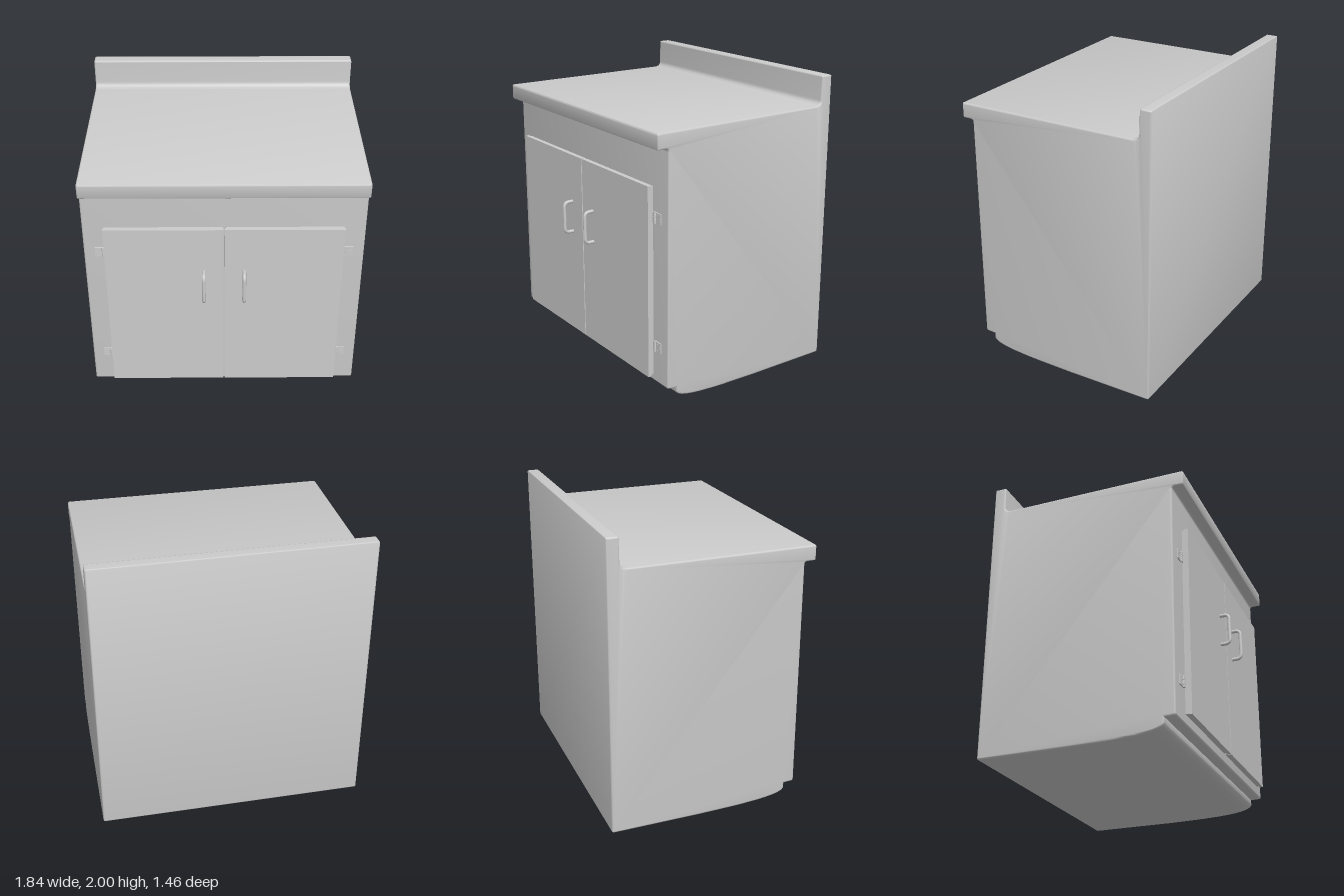
import * as THREE from 'three';
import { toCreasedNormals } from 'three/addons/utils/BufferGeometryUtils.js';

const material = new THREE.MeshStandardMaterial({ color: 0xcccccc });

function add(parent, name, geometry, x = 0, y = 0, z = 0) {
  const mesh = new THREE.Mesh(geometry, material);
  mesh.name = name;
  mesh.position.set(x, y, z);
  parent.add(mesh);
  return mesh;
}

// Cabinet, worktop and splashback share one side profile, swept across the width
function cabinetGeometry() {
  const s = new THREE.Shape(); // shape x runs towards the back
  s.moveTo(0.705, 0);
  s.quadraticCurveTo(0.722, 0, 0.722, 0.017);
  s.lineTo(0.722, 1.99);
  s.quadraticCurveTo(0.722, 2, 0.712, 2);
  s.lineTo(0.65, 2);
  s.quadraticCurveTo(0.64, 2, 0.64, 1.99);
  s.lineTo(0.637, 1.84);
  s.quadraticCurveTo(0.635, 1.802, 0.59, 1.802); // cove behind the worktop
  s.lineTo(-0.66, 1.802);
  s.quadraticCurveTo(-0.674, 1.802, -0.674, 1.788);
  s.lineTo(-0.674, 1.708);
  s.quadraticCurveTo(-0.674, 1.698, -0.664, 1.698);
  s.lineTo(-0.615, 1.698);
  s.quadraticCurveTo(-0.595, 1.698, -0.595, 1.678);
  s.lineTo(-0.597, 0.125);
  s.quadraticCurveTo(-0.597, 0.11, -0.585, 0.109);
  s.lineTo(-0.525, 0.107); // toe step
  s.lineTo(-0.525, 0.07);
  s.bezierCurveTo(-0.51, 0.02, -0.32, 0.012, -0.15, 0.005);
  s.lineTo(0.1, 0);
  s.closePath();
  const b = 0.012, halfWidth = 0.916;
  const g = new THREE.ExtrudeGeometry(s, {
    depth: 2 * (halfWidth - b), bevelThickness: b, bevelSize: b,
    bevelOffset: -b, bevelSegments: 3, curveSegments: 8,
  });
  g.translate(0, 0, -(halfWidth - b)).rotateY(Math.PI / 2);
  return toCreasedNormals(g, 0.7);
}

// Bent bar with rounded corners
function handleGeometry() {
  const v = (y, z) => new THREE.Vector3(0, y, z);
  const path = new THREE.CurvePath();
  const h = 0.108, out = 0.064, r = 0.035;
  path.add(new THREE.LineCurve3(v(h, -0.005), v(h, out - r)));
  path.add(new THREE.QuadraticBezierCurve3(v(h, out - r), v(h, out), v(h - r, out)));
  path.add(new THREE.LineCurve3(v(h - r, out), v(r - h, out)));
  path.add(new THREE.QuadraticBezierCurve3(v(r - h, out), v(-h, out), v(-h, out - r)));
  path.add(new THREE.LineCurve3(v(-h, out - r), v(-h, -0.005)));
  return new THREE.TubeGeometry(path, 64, 0.012, 12);
}

function makeHinge(side) {
  const hinge = new THREE.Group();
  hinge.name = 'hinge';
  add(hinge, 'frameLeaf', new THREE.BoxGeometry(0.053, 0.07, 0.008), side * 0.028, 0, 0);
  add(hinge, 'doorLeaf', new THREE.BoxGeometry(0.05, 0.07, 0.006), side * -0.025, 0, 0.008);
  // Knuckles
  for (let i = -2; i <= 2; i++) {
    add(hinge, 'knuckle', new THREE.CylinderGeometry(0.009, 0.009, 0.0135, 12), 0, i * 0.0148, 0.005);
  }
  add(hinge, 'pin', new THREE.CylinderGeometry(0.006, 0.006, 0.078, 10), 0, 0, 0.005);
  // Screws
  const screw = new THREE.CylinderGeometry(0.004, 0.004, 0.003, 10).rotateX(Math.PI / 2);
  for (const [x, y] of [[0.025, 0.022], [0.042, 0], [0.025, -0.022]]) {
    add(hinge, 'screw', screw, side * x, y, 0.005);
  }
  return hinge;
}

export function createModel() {
  const model = new THREE.Group();
  model.name = 'cabinet';
  add(model, 'cabinetBody', cabinetGeometry());

  for (const side of [-1, 1]) {
    // Door: front sheet over a slightly smaller backing panel
    const door = new THREE.Group();
    door.name = side > 0 ? 'leftDoor' : 'rightDoor';
    add(door, 'doorFront', new THREE.BoxGeometry(0.773, 1.287, 0.025), side * 0.391, 0.8, 0.64);
    add(door, 'doorBack', new THREE.BoxGeometry(0.76, 1.274, 0.022), side * 0.391, 0.8, 0.619);
    add(door, 'handle', handleGeometry(), side * 0.133, 1.004, 0.652);
    model.add(door);

    for (const y of [1.238, 0.368]) {
      const hinge = makeHinge(side);
      hinge.position.set(side * 0.788, y, 0.601);
      model.add(hinge);
    }
  }

  // The cabinet stands very slightly turned
  model.rotation.y = 0.007;
  const root = new THREE.Group();
  root.add(model);
  return root;
}
